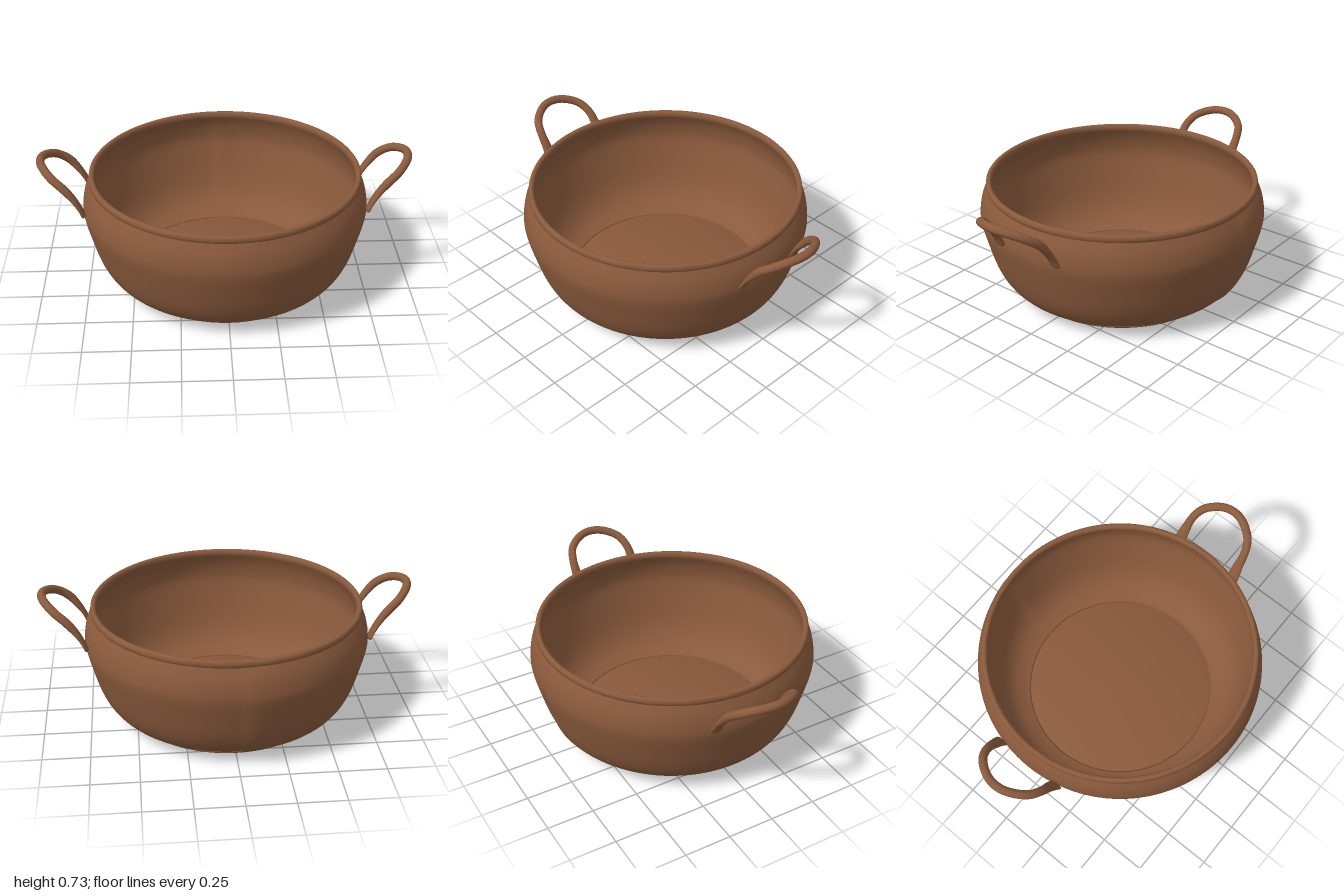
import * as THREE from 'three';
import { mergeVertices, toCreasedNormals } from 'three/addons/utils/BufferGeometryUtils.js';

const copper = new THREE.MeshStandardMaterial({ color: 0x8a5a3c });
copper.name = 'brown copper';

const v2 = (pts) => pts.map(([r, y]) => new THREE.Vector2(r, y));

function addMesh(parent, name, geometry) {
  const mesh = new THREE.Mesh(geometry, copper);
  mesh.name = name;
  parent.add(mesh);
  return mesh;
}

// Bellied sheet wall, joined by a raised lap seam at the back
function wallGeometry() {
  const outer = new THREE.SplineCurve(v2([
    [0.525, 0.02], [0.565, 0.034], [0.62, 0.068], [0.668, 0.125], [0.705, 0.205],
    [0.738, 0.32], [0.76, 0.41], [0.764, 0.465], [0.75, 0.54], [0.718, 0.612],
  ])).getPoints(36);
  const inner = outer.slice(1).reverse().map((p) => new THREE.Vector2(p.x - 0.016, p.y + 0.004));
  const profile = [...outer, ...inner, outer[0].clone()];
  const segments = 128;
  const geo = new THREE.LatheGeometry(profile, segments, Math.PI);
  const pos = geo.attributes.position;
  for (let i = 0; i < pos.count; i++) {
    const ring = Math.floor(i / profile.length);
    const y = pos.getY(i);
    const lift = ring === 0 || ring === segments ? 0
      : 0.011 * Math.min(1, ring * 0.65) * Math.exp(-ring / 10);
    // the lap fades out where the wall meets the base and the rim
    const fade = Math.min(1, Math.max(0, (y - 0.03) / 0.06)) * Math.min(1, Math.max(0.3, (0.625 - y) / 0.05));
    const k = 1 + (lift * fade) / Math.hypot(pos.getX(i), pos.getZ(i));
    pos.setXYZ(i, pos.getX(i) * k, y, pos.getZ(i) * k);
  }
  geo.computeVertexNormals();
  return geo;
}

// Loop handle: a tube whose ends are hammered flat against the wall
function handleGeometry() {
  const half = [
    [0.746, 0.452, 0.186], [0.762, 0.495, 0.185], [0.795, 0.553, 0.182], [0.847, 0.618, 0.177],
    [0.903, 0.662, 0.152], [0.946, 0.689, 0.1], [0.97, 0.701, 0.048],
  ].map((p) => new THREE.Vector3(...p));
  const mirrored = half.map((p) => new THREE.Vector3(p.x, p.y, -p.z)).reverse();
  const curve = new THREE.CatmullRomCurve3([...half, new THREE.Vector3(0.977, 0.704, 0), ...mirrored]);
  const rings = 96, sides = 16;
  const geo = new THREE.TubeGeometry(curve, rings, 0.0225, sides);
  const pos = geo.attributes.position;
  const p = new THREE.Vector3();
  for (let i = 0; i < pos.count; i++) {
    const t = Math.floor(i / (sides + 1)) / rings;
    const c = curve.getPointAt(t);
    const end = Math.min(t, 1 - t);
    const flat = 1 - THREE.MathUtils.smoothstep(end, 0.03, 0.22);
    const cap = Math.sqrt(Math.min(1, end / 0.02));
    p.fromBufferAttribute(pos, i).sub(c);
    p.x *= cap * (1 - 0.5 * flat);
    p.y *= cap * (1 - 0.5 * flat);
    p.z *= cap * (1 + 0.5 * flat);
    p.add(c);
    pos.setXYZ(i, p.x, p.y, p.z);
  }
  geo.deleteAttribute('uv');
  geo.deleteAttribute('normal');
  const merged = mergeVertices(geo, 1e-5);
  merged.computeVertexNormals();
  return merged;
}

export function createModel() {
  const pot = new THREE.Group();
  pot.name = 'cookingPot';

  // Flat foot disc, also the floor of the pot
  addMesh(pot, 'base', toCreasedNormals(new THREE.LatheGeometry(v2([
    [0, 0], [0.528, 0], [0.536, 0.004], [0.54, 0.011], [0.536, 0.018], [0.528, 0.022], [0, 0.022],
  ]), 96), 0.7));

  addMesh(pot, 'wall', wallGeometry());

  // Rolled rim band
  addMesh(pot, 'rim', toCreasedNormals(new THREE.LatheGeometry(v2([
    [0.7, 0.602], [0.722, 0.602], [0.726, 0.607], [0.727, 0.62], [0.725, 0.632], [0.72, 0.638],
    [0.712, 0.64], [0.704, 0.638], [0.699, 0.632], [0.697, 0.62], [0.697, 0.607], [0.7, 0.602],
  ]), 128), 0.8));

  // Two handles, one on each side
  const handle = handleGeometry();
  addMesh(pot, 'leftHandle', handle);
  addMesh(pot, 'rightHandle', handle).rotation.y = Math.PI;

  return pot;
}
